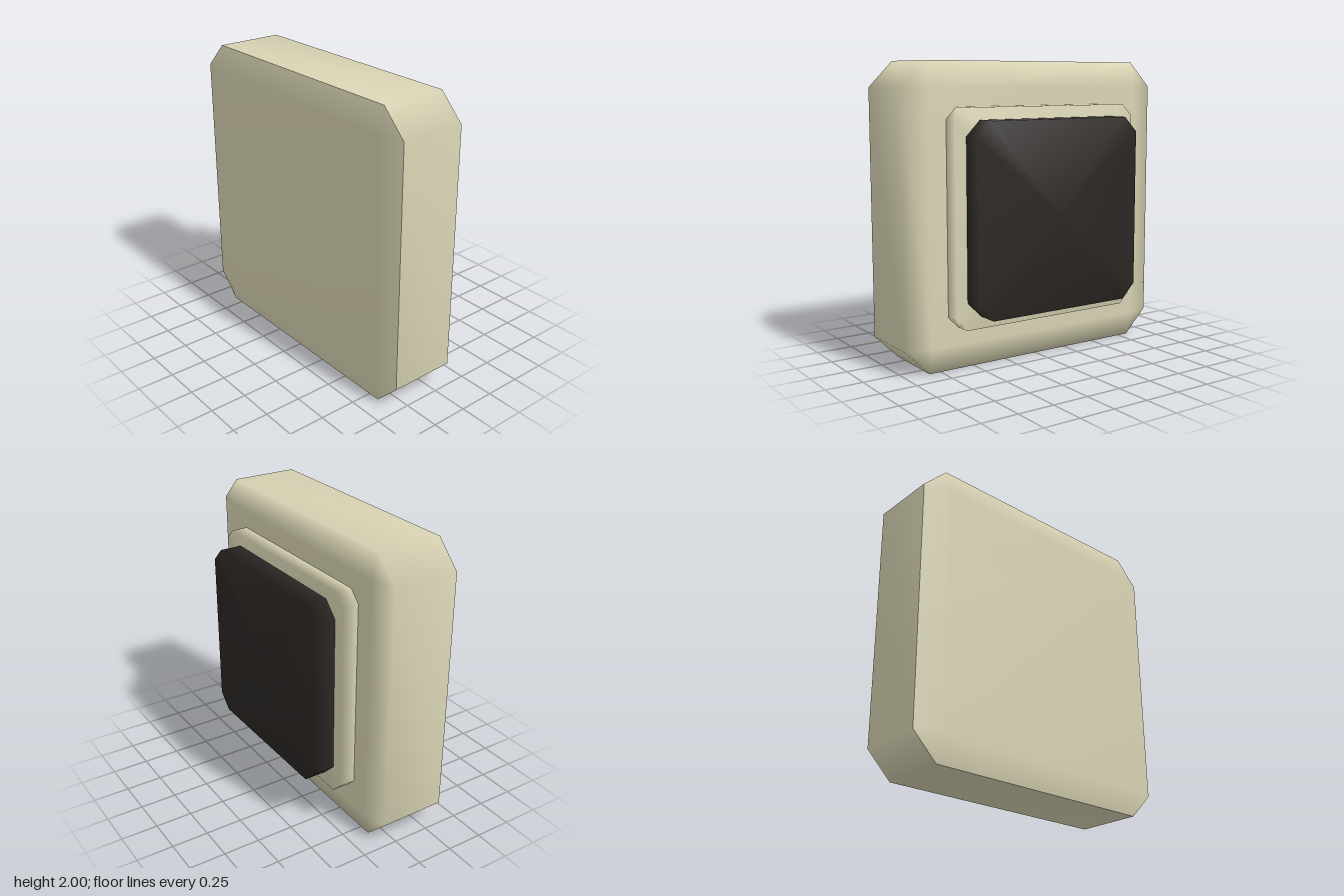
import * as THREE from 'three';
import { mergeVertices } from 'three/addons/utils/BufferGeometryUtils.js';

// Eight-point ring: half-width w with the corners starting at k (k = w gives a square)
function ring(w, k, z) {
  return [[w, -k], [w, k], [k, w], [-k, w], [-w, k], [-w, -k], [-k, -w], [k, -w]]
    .map(([x, y]) => [x, y + 1, z]);
}

// Skin a list of rings running from back to front, with optional end caps
function shell(rings, capBack, capFront) {
  const n = 8, last = rings.length - 1;
  const pos = rings.flat(2), idx = [];
  for (let r = 0; r < last; r++) {
    for (let i = 0; i < n; i++) {
      const a = r * n + i, b = r * n + (i + 1) % n;
      idx.push(a, b, b + n, a, b + n, a + n);
    }
  }
  const cap = (r, flip) => {
    const c = pos.length / 3;
    pos.push(0, 1, rings[r][0][2]);
    for (let i = 0; i < n; i++) {
      const a = r * n + i, b = r * n + (i + 1) % n;
      idx.push(c, flip ? b : a, flip ? a : b);
    }
  };
  if (capBack) cap(0, true);
  if (capFront) cap(last, false);
  const g = new THREE.BufferGeometry();
  g.setAttribute('position', new THREE.Float32BufferAttribute(pos, 3));
  g.setIndex(idx);
  const merged = mergeVertices(g);
  merged.computeVertexNormals();
  return merged;
}

export function createModel() {
  const group = new THREE.Group();
  const cream = new THREE.MeshStandardMaterial({ color: 0xd9d4b4 });
  const black = new THREE.MeshStandardMaterial({ color: 0x2b2724 });
  const add = (name, geometry, material) => {
    const mesh = new THREE.Mesh(geometry, material);
    mesh.name = name;
    group.add(mesh);
  };

  // Chamfered housing: sides and back shade smoothly together
  add('housing', shell([ring(0.83, 0.83, -0.14), ring(1, 0.83, -0.1), ring(1, 0.83, 0.355)], true, false), cream);
  // Shallow domed front panel, meeting the sides at a hard edge
  add('frontPanel', shell([ring(1, 0.83, 0.355), ring(0.83, 0.83, 0.4)], false, true), cream);
  // Stepped plate and dark pad on the back
  add('backPlate', shell([ring(0.71, 0.635, -0.25), ring(0.71, 0.635, -0.14)], true, false), cream);
  add('backPad', shell([ring(0.63, 0.53, -0.4), ring(0.63, 0.53, -0.25)], true, false), black);

  return group;
}
